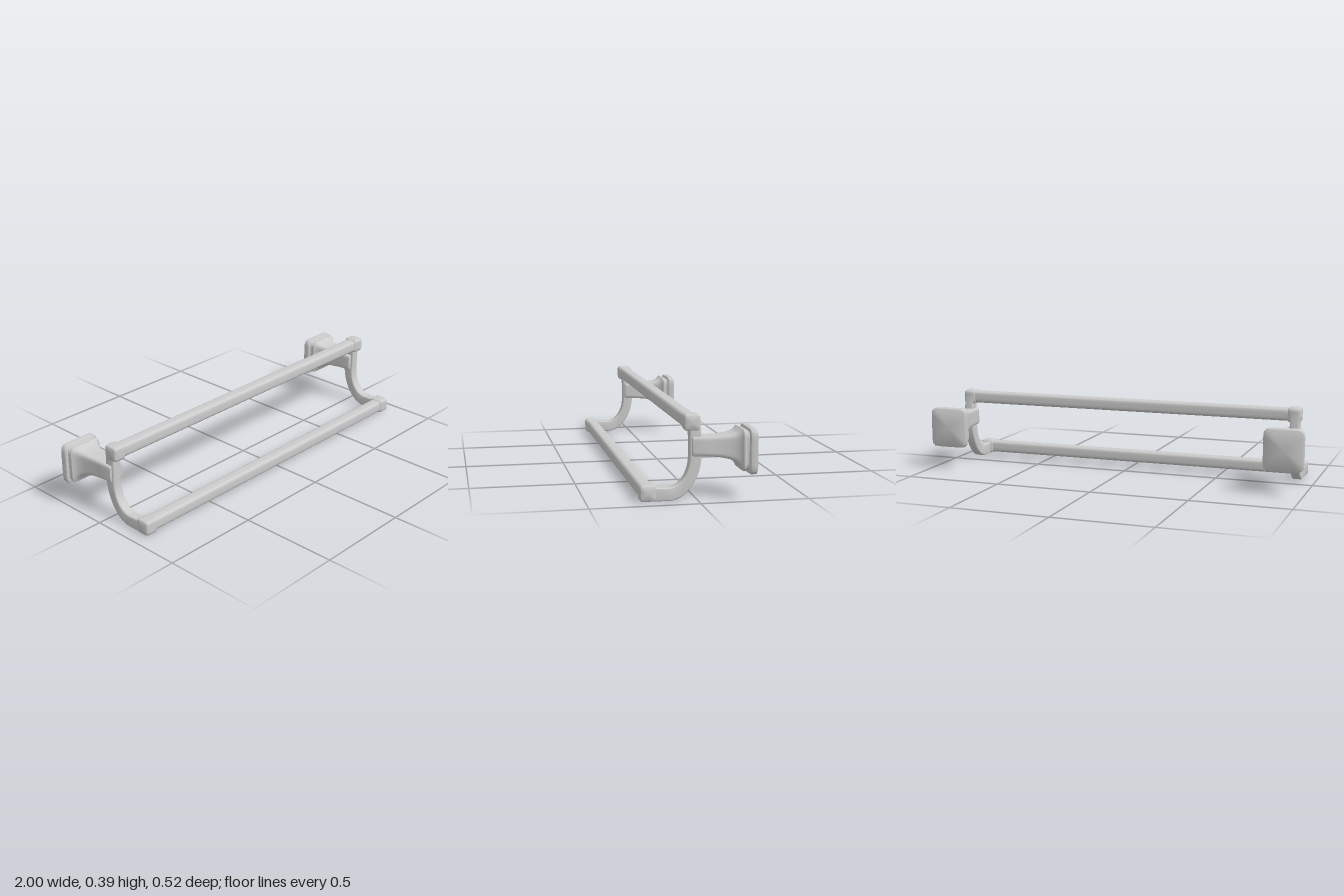
import * as THREE from 'three';
import { toCreasedNormals } from 'three/addons/utils/BufferGeometryUtils.js';

const SEG = 48;

// Closed loft along +z; each section is [z, halfWidth, halfHeight, centreY], drawn as a softly bulging square
function loft(sections, power) {
  const pos = [], idx = [];
  for (const [z, hw, hh, cy = 0] of sections) {
    for (let j = 0; j < SEG; j++) {
      const a = ((j + 0.5) / SEG) * Math.PI * 2, c = Math.cos(a), s = Math.sin(a);
      const r = Math.pow(Math.abs(c) ** power + Math.abs(s) ** power, -1 / power);
      pos.push(hw * r * c, cy + hh * r * s, z);
    }
  }
  const n = sections.length, first = n * SEG, last = first + 1;
  for (const sec of [sections[0], sections[n - 1]]) pos.push(0, sec[3] ?? 0, sec[0]);
  for (let j = 0; j < SEG; j++) {
    const k = (j + 1) % SEG;
    for (let i = 0; i < n - 1; i++) {
      const a = i * SEG + j, b = i * SEG + k;
      idx.push(a, b, b + SEG, a, b + SEG, a + SEG);
    }
    idx.push(first, k, j, last, (n - 1) * SEG + j, (n - 1) * SEG + k);
  }
  const g = new THREE.BufferGeometry();
  g.setAttribute('position', new THREE.Float32BufferAttribute(pos, 3));
  g.setIndex(idx);
  return toCreasedNormals(g, 0.7);
}

// Wall post: flange, groove, flared neck and squared front end; rows are [z, halfWidth, bottom, top]
function postGeometry() {
  const rows = [
    [-0.262, 0.094, 0.128, 0.322], [-0.258, 0.099, 0.122, 0.328], [-0.236, 0.1, 0.12, 0.33],
    [-0.229, 0.097, 0.123, 0.328], [-0.224, 0.085, 0.138, 0.317], [-0.214, 0.083, 0.141, 0.315],
    [-0.206, 0.089, 0.135, 0.323], [-0.199, 0.088, 0.136, 0.325], [-0.193, 0.08, 0.147, 0.32],
    [-0.183, 0.071, 0.162, 0.311], [-0.168, 0.063, 0.176, 0.304], [-0.145, 0.056, 0.187, 0.299],
    [-0.1, 0.048, 0.197, 0.294], [-0.05, 0.043, 0.202, 0.292], [0.018, 0.04, 0.204, 0.292],
    [0.024, 0.038, 0.206, 0.29], [0.026, 0.034, 0.21, 0.286],
  ];
  return loft(rows.map(([z, w, b, t]) => [z, w, (t - b) / 2, (t + b) / 2]), 9);
}

// Curved arm: side profile drawn as (z, y), extruded across x
function armGeometry() {
  const s = new THREE.Shape();
  s.moveTo(-0.01, 0.376);
  s.bezierCurveTo(-0.012, 0.32, -0.02, 0.29, -0.02, 0.23);
  s.bezierCurveTo(-0.02, 0.1, 0.05, 0.006, 0.13, 0.006);
  s.lineTo(0.24, 0.006);
  s.lineTo(0.24, 0.066);
  s.lineTo(0.135, 0.062);
  s.bezierCurveTo(0.08, 0.062, 0.033, 0.115, 0.033, 0.21);
  s.lineTo(0.036, 0.376);
  s.closePath();
  const depth = 0.034, bevel = 0.007;
  const g = new THREE.ExtrudeGeometry(s, {
    depth, curveSegments: 20, bevelThickness: bevel, bevelSize: bevel, bevelOffset: -bevel + 0.002, bevelSegments: 3,
  });
  g.translate(0, 0, -depth / 2);
  g.rotateY(-Math.PI / 2);
  return toCreasedNormals(g, 0.6);
}

export function createModel() {
  const model = new THREE.Group();
  model.name = 'doubleTowelRail';
  const material = new THREE.MeshStandardMaterial({ color: 0xcccccc });
  const add = (parent, name, geometry, x = 0, y = 0, z = 0) => {
    const mesh = new THREE.Mesh(geometry, material);
    mesh.name = name;
    mesh.position.set(x, y, z);
    parent.add(mesh);
  };

  const bar = loft([[-0.88, 0.032, 0.032], [0.88, 0.032, 0.032]], 4).rotateY(Math.PI / 2);
  const socket = loft([
    [-0.032, 0.031, 0.031], [-0.029, 0.035, 0.035], [-0.022, 0.037, 0.037],
    [0.022, 0.037, 0.037], [0.029, 0.035, 0.035], [0.032, 0.031, 0.031],
  ], 6).rotateY(Math.PI / 2);
  const post = postGeometry(), arm = armGeometry();

  // Rails: [name, y, z]
  const rails = [['upper', 0.356, 0.024], ['lower', 0.041, 0.225]];
  for (const [name, y, z] of rails) add(model, name + 'Bar', bar, 0, y, z);

  // Brackets at both ends
  for (const [side, s] of [['left', 1], ['right', -1]]) {
    const bracket = new THREE.Group();
    bracket.name = side + 'Bracket';
    add(bracket, 'wallPost', post, s * 0.9);
    add(bracket, 'curvedArm', arm, s * 0.904);
    for (const [name, y, z] of rails) add(bracket, name + 'Socket', socket, s * 0.899, y, z);
    model.add(bracket);
  }
  return model;
}
